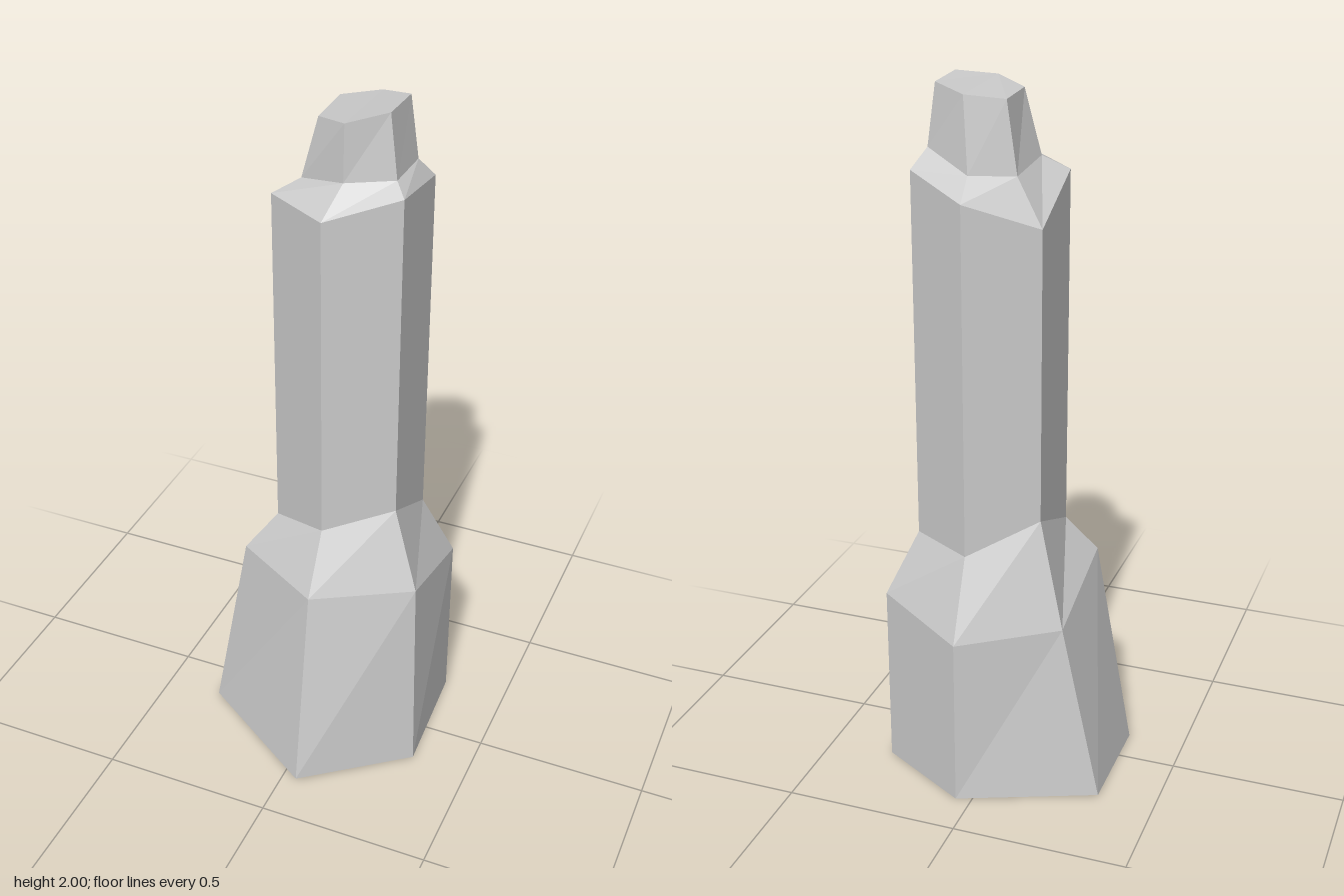
import * as THREE from 'three';

// Six corners per ring, counter-clockwise from the front: [x, z] outlines
const footPlan = [[0.045, 0.365], [0.33, 0.135], [0.31, -0.215], [0.045, -0.367], [-0.333, -0.213], [-0.333, 0.113]];
const shoulderPlan = [[0.045, 0.262], [0.31, 0.11], [0.31, -0.215], [0.045, -0.367], [-0.22, -0.215], [-0.22, 0.11]];
const shaftPlan = [[0.045, 0.165], [0.225, 0.06], [0.225, -0.167], [0.045, -0.272], [-0.138, -0.167], [-0.138, 0.06]];
const neckPlan = [[0.072, 0.086], [0.19, 0.02], [0.19, -0.13], [0.055, -0.195], [-0.06, -0.14], [-0.07, 0.022]];
const tipPlan = [[0.071, 0.078], [0.165, 0.008], [0.165, -0.132], [0.073, -0.173], [-0.028, -0.13], [-0.022, 0.022]];

// Combine an outline with uneven corner heights
const ring = (plan, heights) => plan.map(([x, z], i) => [x, heights[i], z]);

const foot = ring(footPlan, [0.01, 0, 0, 0, 0, 0]);
const shoulder = ring(shoulderPlan, [0.62, 0.62, 0.54, 0.5, 0.52, 0.62]);
const shaftBase = ring(shaftPlan, [0.795, 0.845, 0.73, 0.73, 0.82, 0.73]);
const shaftTop = ring(shaftPlan, [1.75, 1.8, 1.77, 1.72, 1.645, 1.75]);
const neck = ring(neckPlan, [1.828, 1.828, 1.825, 1.775, 1.77, 1.79]);
const tip = ring(tipPlan, [1.983, 2, 1.995, 1.976, 1.963, 1.965]);

// Skin a stack of rings, optionally closing either end
function loft(rings, closeBottom, closeTop) {
  const points = rings.flat(2);
  const n = rings[0].length;
  const index = [];
  for (let r = 0; r < rings.length - 1; r++) {
    for (let i = 0; i < n; i++) {
      const a = r * n + i;
      const b = r * n + (i + 1) % n;
      index.push(a, b, b + n, a, b + n, a + n);
    }
  }
  const top = (rings.length - 1) * n;
  for (let i = 1; i < n - 1; i++) {
    if (closeBottom) index.push(0, i + 1, i);
    if (closeTop) index.push(top, top + i, top + i + 1);
  }
  const indexed = new THREE.BufferGeometry();
  indexed.setAttribute('position', new THREE.Float32BufferAttribute(points, 3));
  indexed.setIndex(index);
  const geometry = indexed.toNonIndexed();
  geometry.computeVertexNormals();
  return geometry;
}

export function createModel() {
  const group = new THREE.Group();
  group.name = 'hexagonalPillar';
  const material = new THREE.MeshStandardMaterial({ color: 0xcccccc, flatShading: true, side: THREE.DoubleSide });
  const add = (name, geometry) => {
    const mesh = new THREE.Mesh(geometry, material);
    mesh.name = name;
    group.add(mesh);
  };

  // Flared foot with sloping shoulders
  add('base', loft([foot, shoulder, shaftBase], true, false));
  // Straight column
  add('shaft', loft([shaftBase, shaftTop], false, false));
  // Slanted collar and tapering tip
  add('collar', loft([shaftTop, neck], false, false));
  add('tip', loft([neck, tip], false, true));

  return group;
}
